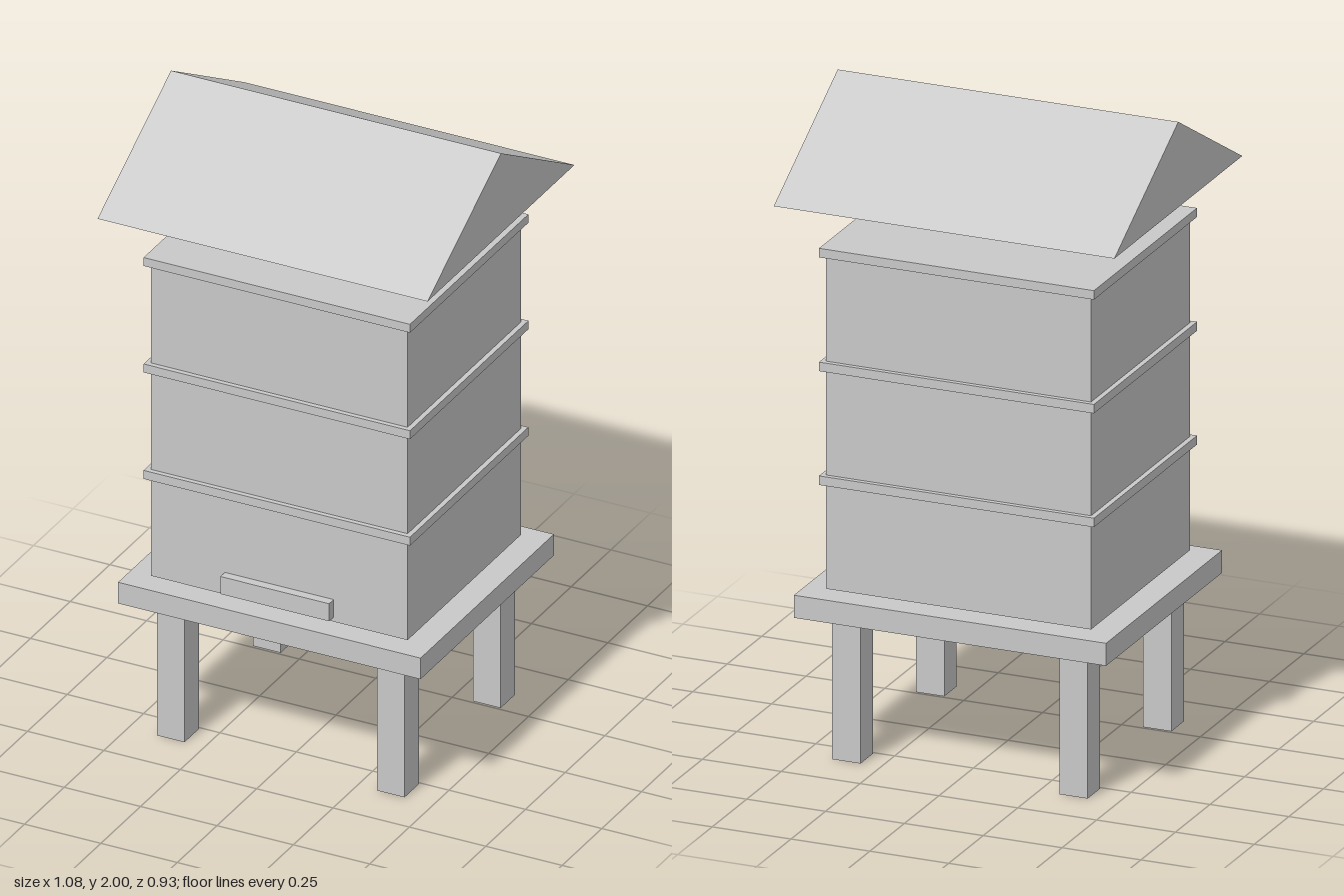
import * as THREE from 'three';

export function createModel() {
  const hive = new THREE.Group();
  hive.name = 'beehive';

  const grey = new THREE.MeshStandardMaterial({ color: 0xc8c8c8, side: THREE.DoubleSide });
  grey.name = 'light grey';

  // Box centred on x and z, spanning y0 to y1
  function slab(name, width, depth, y0, y1, x = 0, z = 0) {
    const mesh = new THREE.Mesh(new THREE.BoxGeometry(width, y1 - y0, depth), grey);
    mesh.position.set(x, (y0 + y1) / 2, z);
    mesh.name = name;
    hive.add(mesh);
  }

  // Stand: four square legs under a board
  for (const x of [-0.36, 0.36]) {
    for (const z of [-0.303, 0.303]) slab('leg', 0.09, 0.09, 0, 0.45, x, z);
  }
  slab('standBoard', 0.99, 0.84, 0.45, 0.52);

  // Three stacked boxes, each capped with a projecting rim
  const pitch = 0.353;
  for (let i = 0; i < 3; i++) {
    const base = 0.53 + i * pitch;
    slab('hiveBox', 0.84, 0.715, base, base + 0.325);
    slab('boxRim', 0.872, 0.746, base + 0.325, base + 0.353);
  }

  // Entrance block on the front
  slab('entrance', 0.356, 0.036, 0.545, 0.603, 0, 0.368);

  // Hollow gabled roof, open underneath
  const w = 0.54, d = 0.463, eave = 1.735, ridge = 2;
  const corners = [];
  for (const x of [-w, w]) corners.push(x, eave, d, x, ridge, 0, x, eave, -d);
  const roof = new THREE.BufferGeometry();
  roof.setAttribute('position', new THREE.Float32BufferAttribute(corners, 3));
  roof.setIndex([
    0, 3, 4, 0, 4, 1, // front slope
    1, 4, 5, 1, 5, 2, // back slope
    3, 5, 4, 0, 1, 2, // gable ends
  ]);
  const flatRoof = roof.toNonIndexed();
  flatRoof.computeVertexNormals();
  const roofMesh = new THREE.Mesh(flatRoof, grey);
  roofMesh.name = 'roof';
  hive.add(roofMesh);

  return hive;
}
